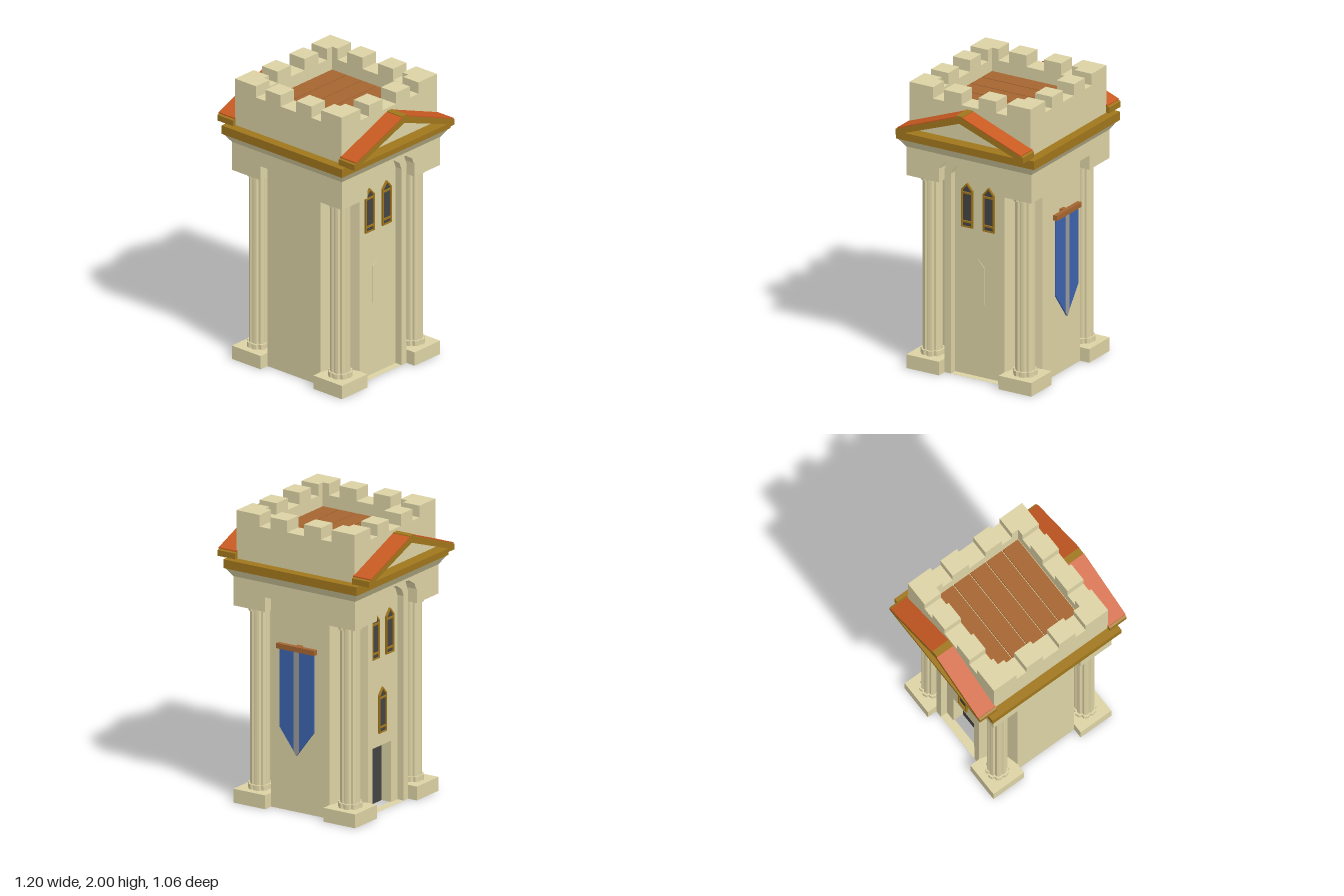
import * as THREE from 'three';

const mat = (color, extra = {}) => new THREE.MeshStandardMaterial({ color, ...extra });
const stone = mat(0xdcd2a4, { side: THREE.DoubleSide, flatShading: true });
const gold = mat(0xa0761c);
const orange = mat(0xc85a22);
const wood = mat(0xa56530);
const dark = mat(0x444444, { side: THREE.DoubleSide });
const blue = mat(0x3b62ae, { side: THREE.DoubleSide });
const grey = mat(0x999999, { side: THREE.DoubleSide });

function add(parent, name, geometry, material, x = 0, y = 0, z = 0) {
  const mesh = new THREE.Mesh(geometry, material);
  mesh.name = name;
  mesh.position.set(x, y, z);
  parent.add(mesh);
  return mesh;
}

// Box given by its lower and upper limits
function block(parent, name, material, [x0, x1], [y0, y1], [z0, z1]) {
  return add(parent, name, new THREE.BoxGeometry(x1 - x0, y1 - y0, z1 - z0), material,
    (x0 + x1) / 2, (y0 + y1) / 2, (z0 + z1) / 2);
}

const polygon = pts => new THREE.Shape(pts.map(p => new THREE.Vector2(...p)));
// Half outline mirrored about the vertical axis
const mirrored = half => [...half, ...half.filter(p => p[0] !== 0).reverse().map(([x, y]) => [-x, y])];
const extrude = (shape, depth) => new THREE.ExtrudeGeometry(shape, { depth, bevelEnabled: false });
// Upright shape facing +x, between x0 and x1
const extrudeX = (shape, x0, x1) => extrude(shape, x1 - x0).translate(0, 0, x0).rotateY(Math.PI / 2);

const outerArch = [[0.23, 1.42], [0.205, 1.49], [0.14, 1.53], [0, 1.545]];
const innerArch = [[0.18, 1.4], [0.16, 1.45], [0.1, 1.49], [0, 1.505]];

// Wall strip along a plan path of [x, z] points
function wallStrip(path, height) {
  const pos = [], index = [];
  path.forEach(([x, z], i) => {
    pos.push(x, 0, z, x, height, z);
    if (i) index.push(2 * i - 2, 2 * i, 2 * i - 1, 2 * i - 1, 2 * i, 2 * i + 1);
  });
  const g = new THREE.BufferGeometry();
  g.setAttribute('position', new THREE.Float32BufferAttribute(pos, 3));
  g.setIndex(index);
  const flat = g.toNonIndexed();
  flat.computeVertexNormals();
  return flat;
}

// Scalloped prism for shafts and rings
function fluted(r, depth, notch, lobes = 8) {
  const pts = [];
  for (let i = 0; i < lobes * 4; i++) {
    const a = (i + 0.5) / (lobes * 4) * Math.PI * 2;
    const rad = i % 4 < 3 ? r : r - notch;
    pts.push([Math.cos(a) * rad, Math.sin(a) * rad]);
  }
  return extrude(polygon(pts), depth).rotateX(-Math.PI / 2);
}

function cornerColumn(sx, sz) {
  const g = new THREE.Group();
  g.name = 'cornerColumn';
  const c = 0.355;
  add(g, 'columnBase', new THREE.BoxGeometry(0.25, 0.095, 0.25), stone, 0, 0.0475, 0);
  add(g, 'columnLowerRing', fluted(0.08, 0.035, 0.012), stone, 0, 0.095, 0);
  add(g, 'columnShaft', fluted(0.067, 1.19, 0.01), stone, 0, 0.13, 0);
  add(g, 'columnUpperRing', fluted(0.08, 0.035, 0.012), stone, 0, 1.315, 0);
  add(g, 'columnCapital', new THREE.BoxGeometry(0.25, 0.1, 0.25), stone, 0, 1.4, 0);
  g.position.set(sx * c, 0, sz * c);
  return g;
}

// Pointed window with glazing, frame and crossbars, on the wall facing +x
function pointedWindow(y, z) {
  const g = new THREE.Group();
  g.name = 'pointedWindow';
  const outline = (w, b, s, t) => [[w, b], [w, s], [0, t], [-w, s], [-w, b]];
  add(g, 'windowPane', extrudeX(polygon(outline(0.04, 0, 0.26, 0.305)), 0.355, 0.366), dark);
  const frame = polygon(outline(0.044, 0, 0.26, 0.31));
  frame.holes.push(polygon(outline(0.034, 0.008, 0.255, 0.295)));
  add(g, 'windowFrame', extrudeX(frame, 0.355, 0.374), gold);
  for (const h of [0.04, 0.24]) add(g, 'windowBar', new THREE.BoxGeometry(0.02, 0.012, 0.085), gold, 0.365, h, 0);
  g.position.set(0, y, z);
  return g;
}

function pediment() {
  const g = new THREE.Group();
  g.name = 'pediment';
  const frame = polygon(mirrored([[0.49, 1.67], [0.49, 1.71], [0, 1.895]]));
  frame.holes.push(polygon([[0.42, 1.695], [0, 1.847], [-0.42, 1.695]]));
  add(g, 'pedimentFrame', extrudeX(frame, 0.46, 0.597), gold);
  add(g, 'pedimentPanel', extrudeX(polygon([[0.44, 1.69], [0, 1.855], [-0.44, 1.69]]), 0.46, 0.51), stone);
  // Roof tiles on both slopes, leaving ridge and eaves bare
  for (const s of [-1, 1]) {
    const slope = [[0.025, 1.887], [0.475, 1.716], [0.475, 1.724], [0.025, 1.895]].map(([z, y]) => [s * z, y]);
    add(g, 'roofSlope', extrudeX(polygon(slope), 0.46, 0.6), orange);
  }
  add(g, 'ridgeCap', new THREE.BoxGeometry(0.137, 0.015, 0.05), gold, 0.5285, 1.892, 0);
  return g;
}

// Arched side bay facing +x, with or without a doorway
function archedSide(hasDoor) {
  const g = new THREE.Group();
  g.name = 'archedSide';
  const frame = polygon(mirrored([[0.23, 0], ...outerArch]));
  frame.holes.push(polygon(mirrored([[0.18, 0.0005], ...innerArch])));
  add(g, 'archFrame', extrudeX(frame, 0.35, 0.41), stone);

  const panel = hasDoor
    ? polygon([[0.2, 0], [0.2, 1.5], [-0.2, 1.5], [-0.2, 0], [-0.11, 0], [-0.11, 0.42], [0.11, 0.42], [0.11, 0]])
    : polygon([[0.2, 0], [0.2, 1.5], [-0.2, 1.5], [-0.2, 0]]);
  add(g, 'nichePanel', extrudeX(panel, 0.28, 0.36), stone);
  add(g, 'nicheTop', new THREE.BoxGeometry(0.02, 0.06, 0.3), stone, 0.35, 1.51, 0);

  const lintel = polygon([[0.48, 1.45], [0.48, 1.55], [-0.48, 1.55], [-0.48, 1.45], [-0.22, 1.45],
    ...outerArch.slice(1).map(([z, y]) => [-z, y]), [0.14, 1.53], [0.205, 1.49], [0.22, 1.45]]);
  add(g, 'sideArchitrave', extrudeX(lintel, 0.35, 0.48), stone);

  for (const z of [-0.083, 0.083]) g.add(pointedWindow(1.03, z));
  if (hasDoor) {
    block(g, 'doorway', dark, [0.265, 0.285], [0, 0.44], [-0.165, 0.165]);
    g.add(pointedWindow(0.51, 0));
  } else {
    const blind = polygon([[0.045, 0.51], [0.045, 0.77], [0, 0.82], [-0.045, 0.77], [-0.045, 0.51]]);
    add(g, 'blindWindow', extrudeX(blind, 0.355, 0.364), stone);
  }
  g.add(pediment());
  return g;
}

function banner() {
  const g = new THREE.Group();
  g.name = 'banner';
  block(g, 'bannerRod', wood, [-0.15, 0.15], [1.115, 1.15], [-0.47, -0.44]);
  block(g, 'bannerBracket', wood, [-0.02, 0.02], [1.118, 1.147], [-0.445, -0.4]);
  const cloth = polygon([[-0.135, 0.58], [0, 0.4], [0.135, 0.58], [0.135, 1.125], [-0.135, 1.125]]);
  add(g, 'bannerCloth', extrude(cloth, 0.01), blue, 0, 0, -0.455);
  const stripe = polygon([[-0.02, 0.427], [0, 0.4], [0.02, 0.427], [0.02, 1.12], [-0.02, 1.12]]);
  add(g, 'bannerStripe', extrude(stripe, 0.014), grey, 0, 0, -0.458);
  return g;
}

function battlements() {
  const g = new THREE.Group();
  g.name = 'battlements';
  const o = 0.465, i = 0.333;
  const ring = polygon([[-o, -o], [o, -o], [o, o], [-o, o]]);
  ring.holes.push(polygon([[-i, -i], [-i, i], [i, i], [i, -i]]));
  add(g, 'parapet', extrude(ring, 0.25).rotateX(-Math.PI / 2), stone, 0, 1.67, 0);
  for (let k = 0; k < 4; k++) {
    const side = new THREE.Group();
    side.name = 'merlonRow';
    for (const [a, b] of [[-o, -0.283], [-0.2, -0.067], [0.067, 0.2], [0.283, o]])
      block(side, 'merlon', stone, [a, b], [1.92, 2], [i, o]);
    side.rotation.y = k * Math.PI / 2;
    g.add(side);
  }
  block(g, 'deck', stone, [-i, i], [1.67, 1.825], [-i, i]);
  for (let k = -2; k <= 2; k++)
    block(g, 'deckPlank', wood, [k * 0.132 - 0.0625, k * 0.132 + 0.0625], [1.82, 1.84], [-0.327, 0.327]);
  return g;
}

export function createModel() {
  const model = new THREE.Group();
  model.name = 'tower';

  // Front and back walls, hollowed at the corners to make room for the columns
  const half = [[0.41, 0.23], [0.29, 0.26], [0.26, 0.29], [0.23, 0.41]];
  const path = mirrored(half).reverse();
  const front = add(model, 'frontWall', wallStrip(path, 1.46), stone);
  const back = front.clone();
  back.name = 'backWall';
  back.rotation.y = Math.PI;
  model.add(back);

  for (const sx of [-1, 1]) for (const sz of [-1, 1]) model.add(cornerColumn(sx, sz));

  // Left side, and right side with the doorway
  model.add(archedSide(false));
  const doorSide = archedSide(true);
  doorSide.rotation.y = Math.PI;
  model.add(doorSide);

  // Entablature
  block(model, 'architrave', stone, [-0.35, 0.35], [1.45, 1.55], [-0.48, 0.48]);
  const flare = new THREE.CylinderGeometry(0.52 * Math.SQRT2, 0.48 * Math.SQRT2, 0.06, 4).rotateY(Math.PI / 4);
  add(model, 'flaredMoulding', flare, stone, 0, 1.58, 0);
  block(model, 'cornice', gold, [-0.525, 0.525], [1.61, 1.67], [-0.53, 0.53]);

  model.add(battlements(), banner());
  return model;
}
